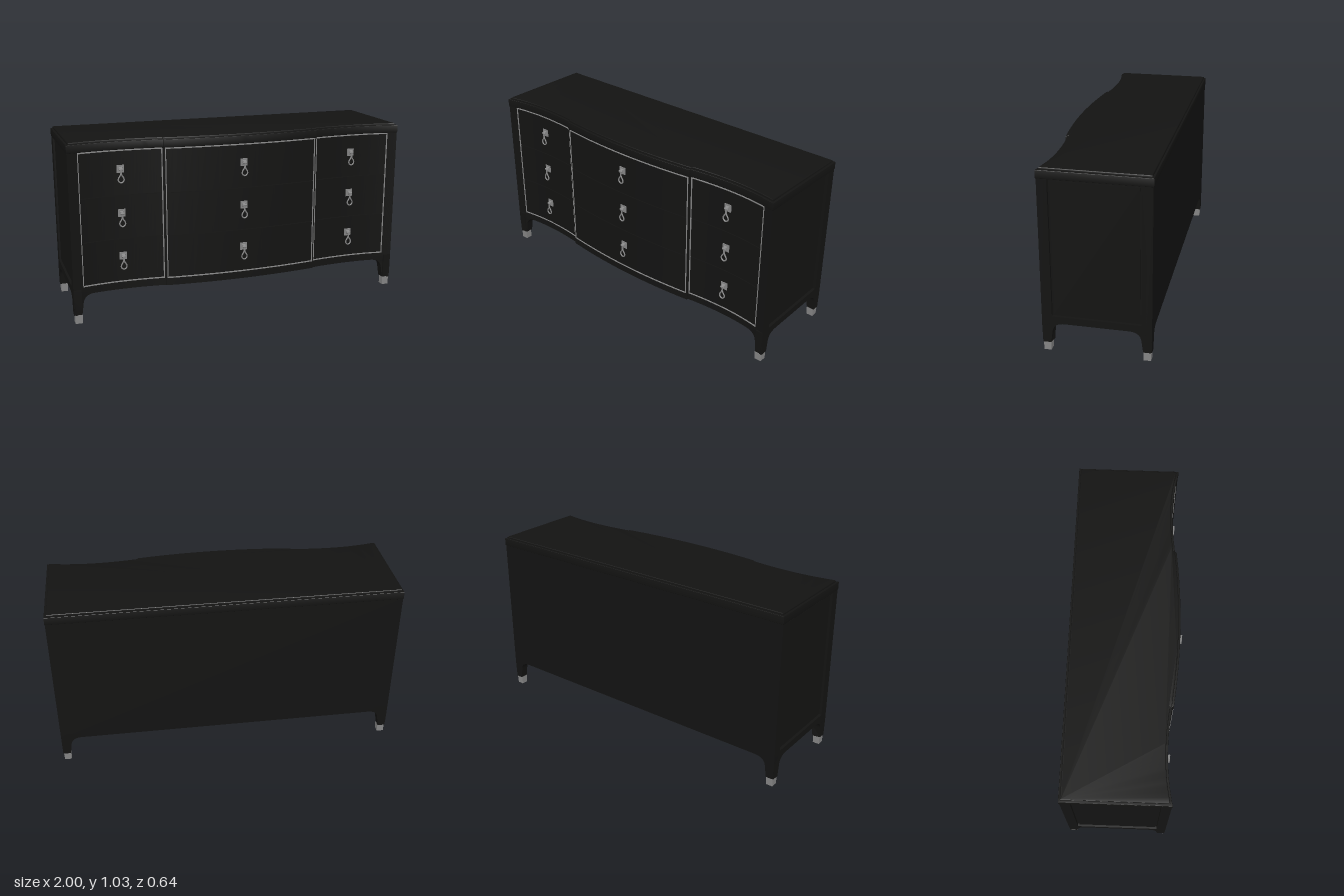
import * as THREE from 'three';
import { toCreasedNormals } from 'three/addons/utils/BufferGeometryUtils.js';

const black = new THREE.MeshStandardMaterial({ color: 0x131312 });
const metal = new THREE.MeshStandardMaterial({ color: 0x858585 });

const STEP = 0.4625;   // where the bowed centre meets the hollow sides
const BACK = -0.318;

// Serpentine front: bowed centre, hollow sides
const bow = (x) => 0.297 - 0.029 * (x / STEP) ** 2;
const hollow = (x) => {
  const d = Math.abs(x) - 0.72;
  return 0.241 + (d > 0 ? 0.031 * (d / 0.28) ** 2 : 0.018 * (d / 0.2575) ** 2);
};
const frontAt = (x) => (Math.abs(x) < STEP ? bow(x) : hollow(x));

function add(parent, name, geometry, material = black, x = 0, y = 0, z = 0) {
  const mesh = new THREE.Mesh(geometry, material);
  mesh.name = name;
  mesh.position.set(x, y, z);
  parent.add(mesh);
  return mesh;
}

function box(parent, name, x0, x1, y0, y1, z0, z1, material = black) {
  return add(parent, name, new THREE.BoxGeometry(x1 - x0, y1 - y0, z1 - z0), material,
    (x0 + x1) / 2, (y0 + y1) / 2, (z0 + z1) / 2);
}

// Board that follows the front curve
function curvedBoard(parent, name, x0, x1, y0, y1, depth, offset = 0, material = black) {
  const geometry = new THREE.BoxGeometry(x1 - x0, y1 - y0, depth, 24, 1, 1);
  geometry.translate((x0 + x1) / 2, (y0 + y1) / 2, offset - depth / 2);
  const curve = Math.abs(x0 + x1) / 2 < STEP ? bow : hollow;
  const p = geometry.attributes.position;
  for (let i = 0; i < p.count; i++) p.setZ(i, p.getZ(i) + curve(p.getX(i)));
  geometry.computeVertexNormals();
  return add(parent, name, geometry, material);
}

// Slab with the plan outline of the chest
function planSlab(parent, name, half, y0, y1, inset, backInset = inset, bevel = 0) {
  const shape = new THREE.Shape();
  shape.moveTo(-half, -(BACK + backInset));
  const run = (a, b, curve) => {
    for (let i = 0; i <= 20; i++) {
      const x = a + (b - a) * i / 20;
      shape.lineTo(x, -(curve(x) - inset));
    }
  };
  run(-half, -STEP, hollow);
  run(-STEP + 0.001, STEP - 0.001, bow);
  run(STEP, half, hollow);
  shape.lineTo(half, -(BACK + backInset));
  const geometry = new THREE.ExtrudeGeometry(shape, {
    depth: y1 - y0 - 2 * bevel, bevelEnabled: bevel > 0,
    bevelSize: bevel, bevelThickness: bevel, bevelSegments: 3,
  });
  geometry.rotateX(-Math.PI / 2).translate(0, y0 + bevel, 0);
  return add(parent, name, toCreasedNormals(geometry, 0.5), black);
}

// Leg with two curved brackets and a metal cap; corner at the group's origin
function makeLeg(isFront) {
  const leg = new THREE.Group();
  leg.name = isFront ? 'frontLeg' : 'backLeg';
  const shape = new THREE.Shape();
  shape.moveTo(0, 0.2);
  shape.lineTo(0, 0.15);
  shape.lineTo(-0.004, 0.05);
  shape.lineTo(-0.046, 0.05);
  shape.lineTo(-0.055, 0.11);
  shape.bezierCurveTo(-0.058, 0.15, -0.08, 0.166, -0.12, 0.168);
  shape.lineTo(-0.12, 0.2);
  const make = () => new THREE.ExtrudeGeometry(shape, { depth: 0.046, bevelEnabled: false, curveSegments: 12 });
  const across = make().translate(0, 0, -0.046);
  const p = across.attributes.position;
  for (let i = 0; isFront && i < p.count; i++) {
    p.setZ(i, p.getZ(i) + hollow(1 + p.getX(i)) - hollow(1));
  }
  add(leg, 'legBracketAcross', toCreasedNormals(across, 0.6));
  add(leg, 'legBracketAlong', toCreasedNormals(make().rotateY(-Math.PI / 2), 0.6));
  const cap = new THREE.CylinderGeometry(0.03, 0.028, 0.052, 4).rotateY(Math.PI / 4);
  add(leg, 'footCap', toCreasedNormals(cap, 0.5), metal, -0.025, 0.026, -0.025);
  return leg;
}

// Pull: square plate, tapered post and hanging teardrop ring
function makePull() {
  const pull = new THREE.Group();
  pull.name = 'drawerPull';
  add(pull, 'pullPlate', new THREE.BoxGeometry(0.042, 0.044, 0.005), metal, 0, 0, 0.0015);
  const post = new THREE.CylinderGeometry(0.007, 0.018, 0.014, 4).rotateY(Math.PI / 4).rotateX(Math.PI / 2);
  add(pull, 'pullPost', toCreasedNormals(post, 0.5), metal, 0, 0, 0.01);
  add(pull, 'pullPin', new THREE.CylinderGeometry(0.005, 0.005, 0.024, 12).rotateZ(Math.PI / 2), metal, 0, 0, 0.017);
  add(pull, 'pullStem', new THREE.BoxGeometry(0.009, 0.036, 0.005), metal, 0, -0.016, 0.018);
  const drop = new THREE.CatmullRomCurve3(
    [[0, -0.026], [0.007, -0.038], [0.015, -0.051], [0.015, -0.065], [0, -0.076],
      [-0.015, -0.065], [-0.015, -0.051], [-0.007, -0.038]].map(([x, y]) => new THREE.Vector3(x, y, 0.018)), true);
  add(pull, 'pullDrop', new THREE.TubeGeometry(drop, 40, 0.004, 8, true), metal);
  return pull;
}

export function createModel() {
  const dresser = new THREE.Group();
  dresser.name = 'dresser';

  // Case and top
  planSlab(dresser, 'carcass', 0.984, 0.187, 0.98, 0.025, 0.01);
  planSlab(dresser, 'topRail', 0.999, 0.978, 1.024, 0, 0, 0.003);
  planSlab(dresser, 'top', 0.984, 1.01, 1.035, 0.014, 0.014, 0.006);
  box(dresser, 'backPanel', -1, 1, 0.168, 0.98, BACK, BACK + 0.03);

  // Apron and uprights on the front
  for (const [a, b] of [[-0.95, -STEP], [-STEP, STEP], [STEP, 0.95]]) {
    curvedBoard(dresser, 'frontApron', a, b, 0.168, 0.212, 0.04);
  }
  for (const s of [-1, 1]) {
    const span = (a, b) => (s > 0 ? [a, b] : [-b, -a]);
    curvedBoard(dresser, 'cornerPost', ...span(0.942, 1), 0.168, 0.98, 0.04);
    curvedBoard(dresser, 'stile', ...span(STEP, 0.469), 0.2, 0.98, 0.03);
    curvedBoard(dresser, 'stile', ...span(0.456, STEP), 0.2, 0.98, 0.03);
  }

  // Framed sides with a recessed panel
  const frame = new THREE.Shape();
  frame.moveTo(-0.268, 0.168);
  frame.lineTo(-BACK, 0.168);
  frame.lineTo(-BACK, 0.98);
  frame.lineTo(-0.268, 0.98);
  const opening = new THREE.Path();
  opening.moveTo(-0.217, 0.208);
  opening.lineTo(-0.217, 0.975);
  opening.lineTo(0.262, 0.975);
  opening.lineTo(0.262, 0.208);
  frame.holes.push(opening);
  for (const s of [-1, 1]) {
    const side = new THREE.Group();
    side.name = s > 0 ? 'leftSide' : 'rightSide';
    side.scale.x = s;
    const geometry = new THREE.ExtrudeGeometry(frame, { depth: 0.018, bevelEnabled: false });
    add(side, 'sideFrame', geometry.rotateY(Math.PI / 2), black, 0.982);
    box(side, 'sidePanel', 0.97, 0.99, 0.218, 0.965, -0.252, 0.207);
    box(side, 'sideApron', 0.955, 0.999, 0.168, 0.2, -0.3, 0.25);
    dresser.add(side);
  }

  // Three columns of drawers, each column outlined by a thin metal trim
  const y0 = 0.212, y1 = 0.976, t = 0.005;
  for (const [a, b] of [[-0.942, -0.469], [-0.456, 0.456], [0.469, 0.942]]) {
    curvedBoard(dresser, 'trimBottom', a, b, y0, y0 + t, 0.03, 0.003, metal);
    curvedBoard(dresser, 'trimTop', a, b, y1 - t, y1, 0.03, 0.003, metal);
    curvedBoard(dresser, 'trimSide', a, a + t, y0, y1, 0.03, 0.003, metal);
    curvedBoard(dresser, 'trimSide', b - t, b, y0, y1, 0.03, 0.003, metal);
    const h = (y1 - y0 - 2 * t) / 3;
    for (let i = 0; i < 3; i++) {
      const bottom = y0 + t + i * h;
      curvedBoard(dresser, 'drawerFront', a + t + 0.001, b - t - 0.001, bottom + 0.002, bottom + h - 0.002, 0.03);
      const pull = makePull();
      const x = (a + b) / 2;
      pull.position.set(x, bottom + h * 0.6, frontAt(x));
      dresser.add(pull);
    }
  }

  // Four legs
  for (const sx of [-1, 1]) {
    for (const sz of [-1, 1]) {
      const leg = makeLeg(sz > 0);
      leg.position.set(sx, 0, sz > 0 ? hollow(1) : BACK);
      leg.scale.set(sx, 1, sz);
      dresser.add(leg);
    }
  }
  return dresser;
}
